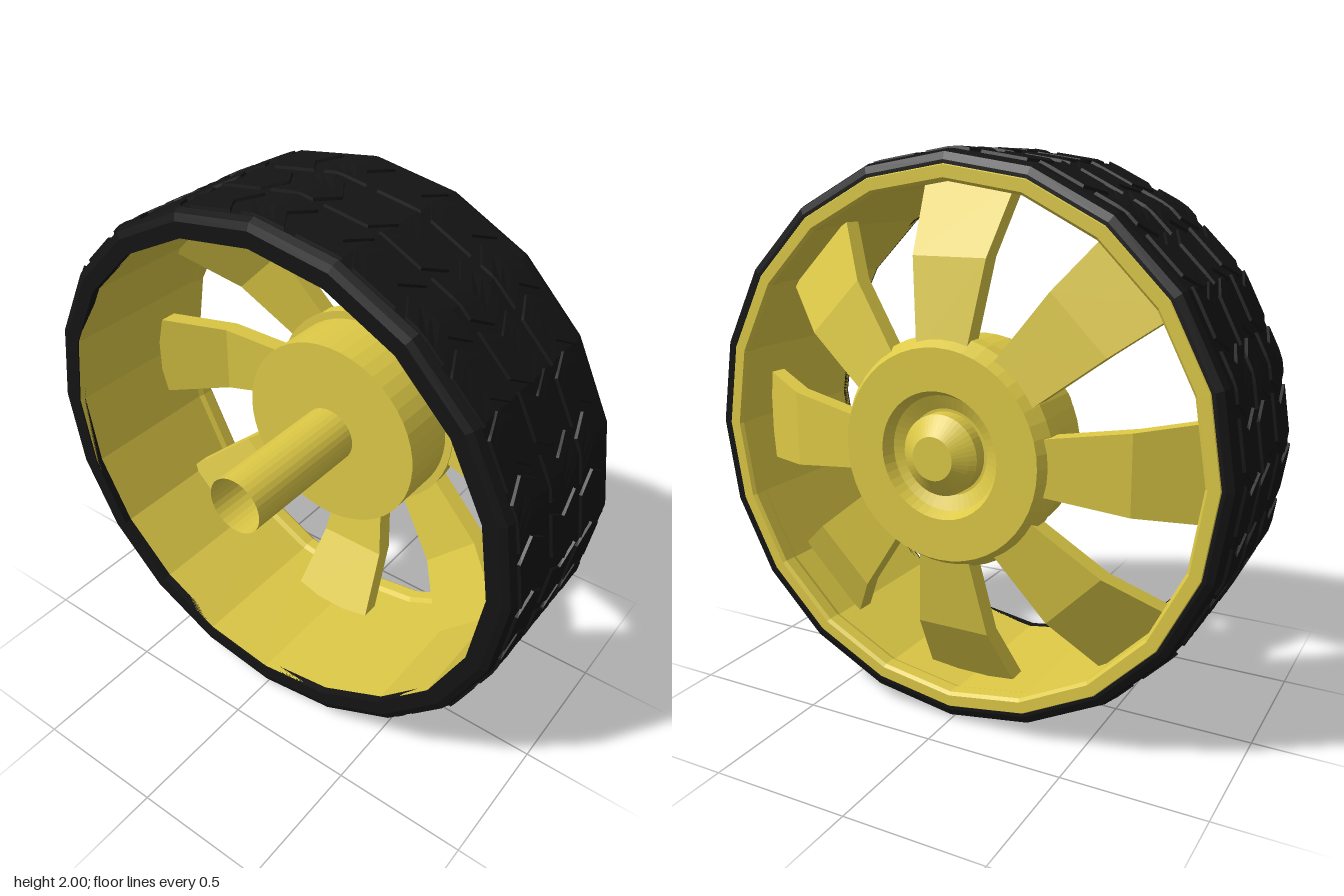
import * as THREE from 'three';

const SIDES = 20;
const yellow = new THREE.MeshStandardMaterial({ color: 0xdcc846, flatShading: true, side: THREE.DoubleSide });
const hubYellow = new THREE.MeshStandardMaterial({ color: 0xdcc846, flatShading: true });
const black = new THREE.MeshStandardMaterial({ color: 0x141414, flatShading: true });

function mesh(name, geometry, material) {
  const m = new THREE.Mesh(geometry, material);
  m.name = name;
  return m;
}

// Turn a list of [radius, x] points around the x axis
function turned(points, sides) {
  const g = new THREE.LatheGeometry(points.map(([r, x]) => new THREE.Vector2(r, x)), sides);
  return g.rotateZ(-Math.PI / 2);
}

// Move every vertex of a geometry by a rule
function reshape(g, rule) {
  const p = g.attributes.position;
  const v = new THREE.Vector3();
  for (let i = 0; i < p.count; i++) {
    rule(v.fromBufferAttribute(p, i));
    p.setXYZ(i, v.x, v.y, v.z);
  }
  g.computeVertexNormals();
  return g;
}

// Radius of the many-sided tyre at a given angle
function tyreRadius(angle) {
  const step = (2 * Math.PI) / SIDES;
  const a = ((angle % step) + step) % step;
  return (0.99 * Math.cos(step / 2)) / Math.cos(a - step / 2);
}

// Chevron tread block wrapped on the tyre; its top is slightly smaller than its base
function treadBlock(xMid, angle, dir) {
  return reshape(new THREE.BoxGeometry(1, 1, 1, 2, 4, 1), (v) => {
    const top = v.z > 0;
    const size = top ? 1 : 1.08;
    const a = angle + v.y * 0.165 * size + dir * (0.25 - Math.abs(v.x)) * 0.11;
    const r = tyreRadius(a) + (top ? 0.01 : -0.02);
    v.set(xMid + v.x * 0.16 * size, r * Math.cos(a), -r * Math.sin(a));
  });
}

// Spoke with a bend: nearly flat near the hub, then sloping back to the rim
function spokeGeometry() {
  const stations = [[0.34, 0.35], [0.65, 0.29], [0.89, 0.143]];
  return reshape(new THREE.BoxGeometry(1, 1, 1, 1, 2, 1), (v) => {
    const [r, x] = stations[Math.round((v.y + 0.5) * 2)];
    v.set(x + v.x * 0.07, r, v.z * 2 * (0.043 + 0.145 * r));
  });
}

export function createModel() {
  const model = new THREE.Group();
  const wheel = new THREE.Group();
  wheel.name = 'wheel';
  wheel.position.y = 1;
  model.add(wheel);

  // Tyre with rounded shoulders
  wheel.add(mesh('tyre', turned([
    [0.9, -0.33], [0.955, -0.33], [0.98, -0.32], [0.99, -0.295],
    [0.99, 0.32], [0.98, 0.345], [0.955, 0.355], [0.943, 0.355],
    [0.943, -0.3], [0.9, -0.3], [0.9, -0.33],
  ], SIDES), black));

  // Three rows of tread blocks
  const tread = new THREE.Group();
  tread.name = 'tread';
  const COUNT = 30;
  [[-0.21, 1], [-0.005, -1], [0.2, 1]].forEach(([x, dir]) => {
    for (let i = 0; i < COUNT; i++) {
      // chevrons keep one turning direction all the way round
      tread.add(mesh('treadBlock', treadBlock(x, (i / COUNT) * Math.PI * 2, dir), black));
    }
  });
  wheel.add(tread);

  // Rim sleeve with a bevelled front lip
  wheel.add(mesh('rim', turned([
    [0.9, -0.325], [0.945, -0.3], [0.945, 0.35], [0.94, 0.357],
    [0.9, 0.357], [0.89, 0.345], [0.89, 0.3], [0.9, 0.28], [0.9, -0.325],
  ], SIDES), yellow));

  // Eight bent spokes
  const spoke = spokeGeometry();
  for (let i = 0; i < 8; i++) {
    const s = mesh('spoke', spoke, hubYellow);
    s.rotation.x = (i * Math.PI) / 4;
    wheel.add(s);
  }

  // Hub drum, front disc, recess and centre cap
  wheel.add(mesh('hub', turned([
    [0, 0.08], [0.37, 0.08], [0.37, 0.3], [0.4, 0.3], [0.4, 0.355], [0.365, 0.41],
    [0.22, 0.41], [0.2, 0.37], [0.15, 0.345], [0.14, 0.345], [0.14, 0.395],
    [0.12, 0.412], [0.075, 0.447], [0, 0.447],
  ], 48), hubYellow));

  // Hollow axle
  const axle = new THREE.CylinderGeometry(0.108, 0.108, 0.55, 32, 1, true).rotateZ(Math.PI / 2);
  axle.translate(-0.175, 0, 0);
  wheel.add(mesh('axle', axle, yellow));

  return model;
}
